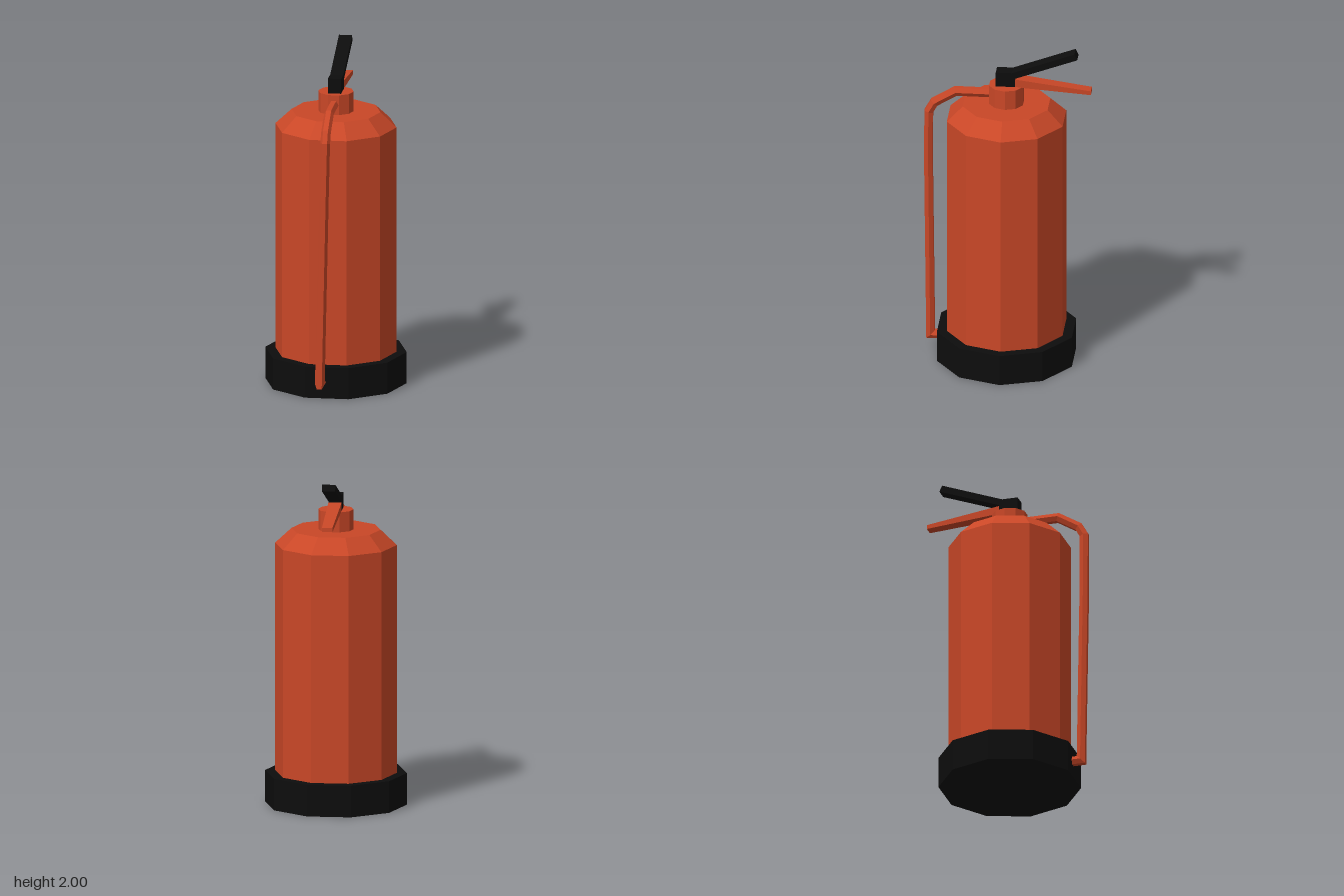
import * as THREE from 'three';

const red = new THREE.MeshStandardMaterial({ color: 0xc94727, flatShading: true });
red.name = 'red paint';
const black = new THREE.MeshStandardMaterial({ color: 0x0d0d0d, flatShading: true });
black.name = 'black plastic';

const SIDES = 10;
const CENTRE_Z = 0.005;

function addMesh(group, name, geometry, material) {
  const mesh = new THREE.Mesh(geometry, material);
  mesh.name = name;
  group.add(mesh);
  return mesh;
}

// Ten-sided drum with corners on the x axis
function drum(rTop, rBottom, y0, y1) {
  const g = new THREE.CylinderGeometry(rTop, rBottom, y1 - y0, SIDES, 1, false, Math.PI / SIDES);
  return g.translate(0, (y0 + y1) / 2, CENTRE_Z);
}

// Side profile of [z, y] points, extruded across x
function sidePlate(points, width) {
  const shape = new THREE.Shape(points.map(([z, y]) => new THREE.Vector2(z, y)));
  const g = new THREE.ExtrudeGeometry(shape, { depth: width, bevelEnabled: false });
  return g.translate(0, 0, -width / 2).rotateY(-Math.PI / 2);
}

// Mitred six-sided pipe along a path that bends in the zy plane
function pipe(path, radius, sides = 6) {
  const pts = path.map((p) => new THREE.Vector3(...p));
  const across = new THREE.Vector3(1, 0, 0);
  const direction = (a, b) => b.clone().sub(a).setX(0).normalize();
  const positions = [];
  const index = [];
  const last = pts.length - 1;
  pts.forEach((p, i) => {
    const before = direction(pts[Math.max(i - 1, 0)], pts[Math.max(i, 1)]);
    const after = direction(pts[Math.min(i, last - 1)], pts[Math.min(i + 1, last)]);
    const t = before.clone().add(after).normalize();
    const v = t.clone().cross(across).multiplyScalar(radius / t.dot(before));
    for (let k = 0; k < sides; k++) {
      const a = (k / sides) * Math.PI * 2;
      const q = p.clone().addScaledVector(across, radius * Math.cos(a)).addScaledVector(v, Math.sin(a));
      positions.push(q.x, q.y, q.z);
    }
  });
  for (let i = 0; i < last; i++) {
    for (let k = 0; k < sides; k++) {
      const a = i * sides + k;
      const b = i * sides + ((k + 1) % sides);
      index.push(a, b, b + sides, a, b + sides, a + sides);
    }
  }
  // End caps
  const end = last * sides;
  for (let k = 1; k < sides - 1; k++) {
    index.push(0, k + 1, k, end, end + k, end + k + 1);
  }
  const g = new THREE.BufferGeometry();
  g.setAttribute('position', new THREE.Float32BufferAttribute(positions, 3));
  g.setIndex(index);
  g.computeVertexNormals();
  return g;
}

export function createModel() {
  const model = new THREE.Group();
  model.name = 'fireExtinguisher';

  // Tank and foot
  addMesh(model, 'base', drum(0.42, 0.42, 0, 0.19), black);
  addMesh(model, 'tank', drum(0.36, 0.36, 0.17, 1.56), red);
  addMesh(model, 'shoulder', drum(0.264, 0.36, 1.56, 1.65), red);
  addMesh(model, 'neck', drum(0.105, 0.105, 1.64, 1.77), red);

  // Valve block with the raised squeeze lever
  addMesh(model, 'lever', sidePlate([
    [0.065, 1.765], [0.065, 1.86], [-0.03, 1.86], [-0.4, 2],
    [-0.417, 1.963], [-0.05, 1.825], [-0.05, 1.765],
  ], 0.078), black);

  // Lower carrying handle, narrowing towards its tip
  const handle = sidePlate([[-0.045, 1.82], [-0.497, 1.76], [-0.497, 1.735], [-0.045, 1.77]], 0.078);
  const pos = handle.attributes.position;
  for (let i = 0; i < pos.count; i++) {
    if (pos.getZ(i) < -0.3) pos.setX(i, pos.getX(i) * 0.8);
  }
  handle.computeVertexNormals();
  addMesh(model, 'carryHandle', handle, red);

  // Hose from the neck down to the base
  addMesh(model, 'hose', pipe([
    [0, 1.71, 0.08], [0, 1.71, 0.305], [0, 1.632, 0.432], [0, 1.573, 0.465],
    [-0.008, 1.23, 0.467], [-0.033, 0.1, 0.457], [-0.033, 0.1, 0.39],
  ], 0.029), red);

  return model;
}
